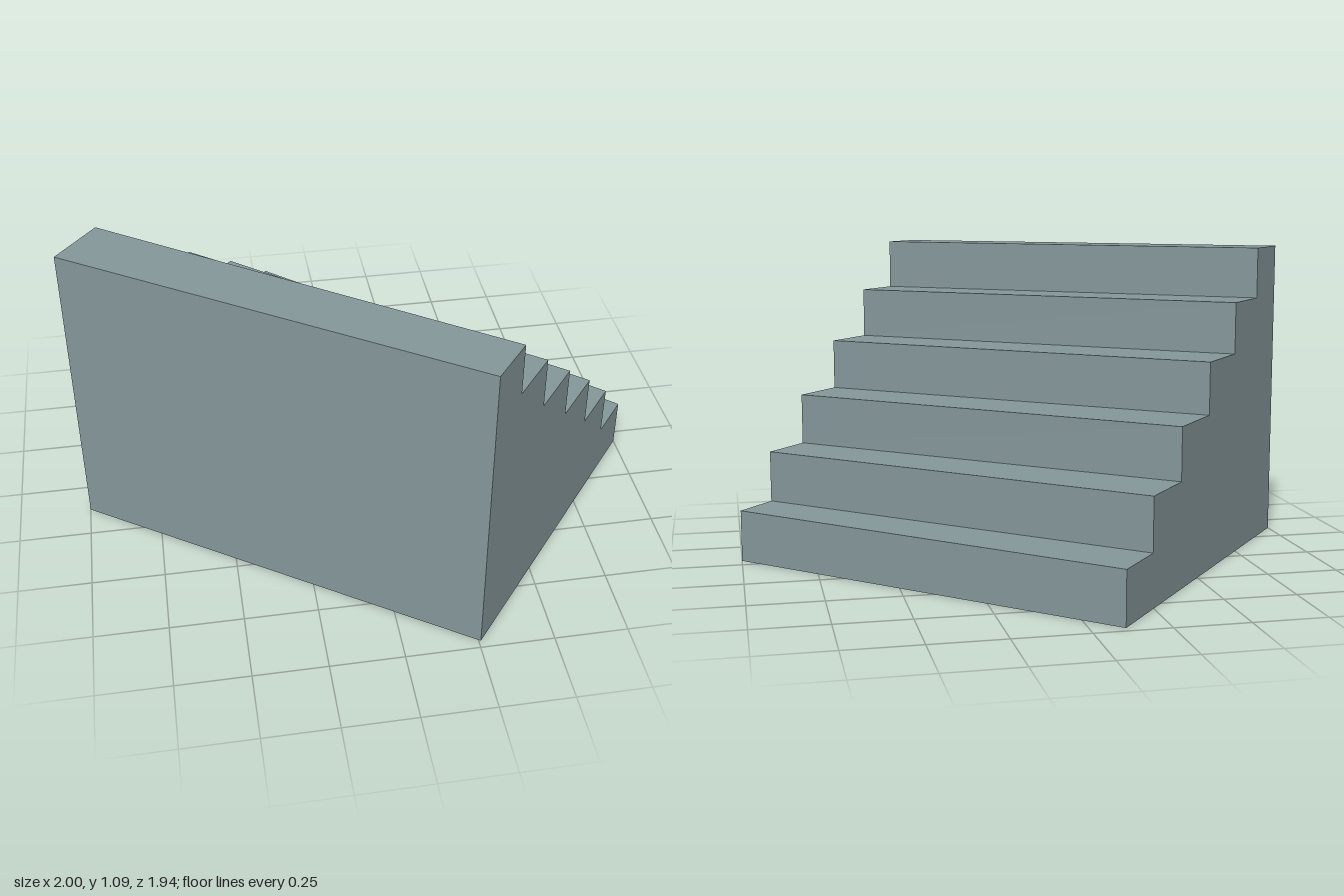
import * as THREE from 'three';

// Footprint corners (x, z): the tall wall runs between the two "tall" corners
const tallRight = new THREE.Vector2(-1, 0.124);
const tallLeft = new THREE.Vector2(0.257, 0.972);
const lowLeft = new THREE.Vector2(1, 0.054);
const lowRight = new THREE.Vector2(-0.11, -0.972);

// Step edges as fractions of the way from the tall wall to the lowest riser
const edges = [0, 0.15, 0.317, 0.498, 0.68, 0.85, 1];
const height = 1.087;

export function createModel() {
  const group = new THREE.Group();
  group.name = 'staircase';

  // Stepped side profile, highest tread first
  const steps = edges.length - 1;
  const profile = new THREE.Shape();
  profile.moveTo(0, 0);
  profile.lineTo(1, 0);
  for (let i = steps; i > 0; i--) {
    const y = (height * (steps + 1 - i)) / steps;
    profile.lineTo(edges[i], y);
    profile.lineTo(edges[i - 1], y);
  }
  profile.closePath();

  // Extrude over a unit width, then stretch onto the uneven four-sided footprint
  const geometry = new THREE.ExtrudeGeometry(profile, { depth: 1, bevelEnabled: false });
  const pos = geometry.attributes.position;
  const right = new THREE.Vector2();
  const left = new THREE.Vector2();
  for (let i = 0; i < pos.count; i++) {
    const t = pos.getX(i);
    right.lerpVectors(tallRight, lowRight, t);
    left.lerpVectors(tallLeft, lowLeft, t);
    right.lerp(left, pos.getZ(i));
    pos.setXYZ(i, right.x, pos.getY(i), right.y);
  }
  geometry.computeVertexNormals();

  const material = new THREE.MeshStandardMaterial({ color: 0x84979a });
  const stairs = new THREE.Mesh(geometry, material);
  stairs.name = 'steps';
  group.add(stairs);
  return group;
}
